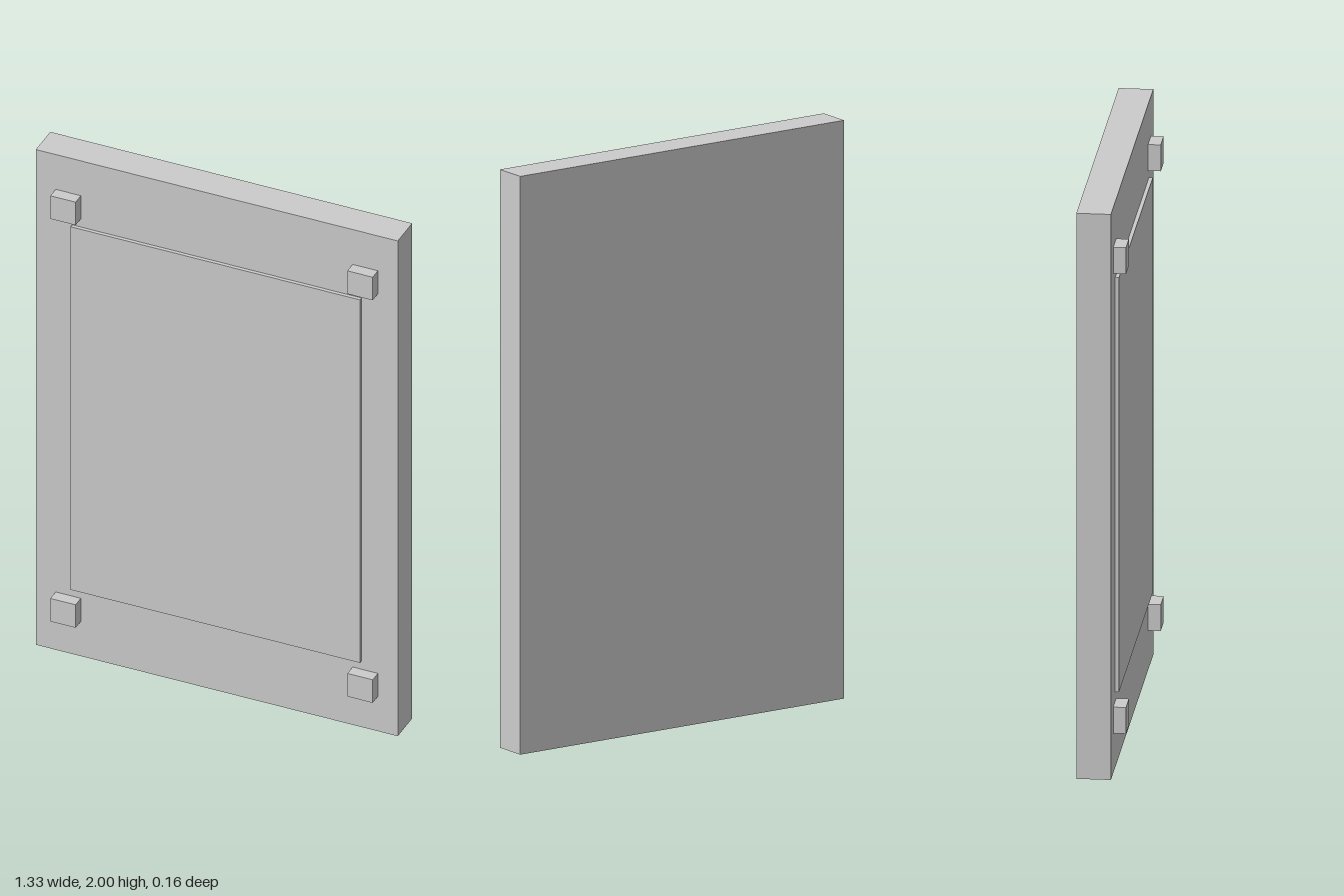
import * as THREE from 'three';

const material = new THREE.MeshStandardMaterial({ color: 0xcccccc, flatShading: true });

// Box centred on x and y, spanning z from back to front
function block(name, width, height, back, front, x, y) {
  const mesh = new THREE.Mesh(new THREE.BoxGeometry(width, height, front - back), material);
  mesh.name = name;
  mesh.position.set(x, y, (back + front) / 2);
  return mesh;
}

export function createModel() {
  const model = new THREE.Group();
  model.name = 'wallPanel';
  const face = 0.037; // front face of the slab

  // Main slab and the thin raised panel on its front
  model.add(block('slab', 1.333, 2, -0.08, face, 0, 1));
  model.add(block('raisedPanel', 1.066, 1.466, face - 0.01, 0.05, 0, 1));

  // Square studs near the four corners
  for (const [side, sx] of [['Left', 1], ['Right', -1]]) {
    for (const [level, sy] of [['upper', 1], ['lower', -1]]) {
      model.add(block(`${level}${side}Stud`, 0.093, 0.093, face - 0.01, 0.08, sx * 0.547, 1 + sy * 0.813));
    }
  }
  return model;
}
